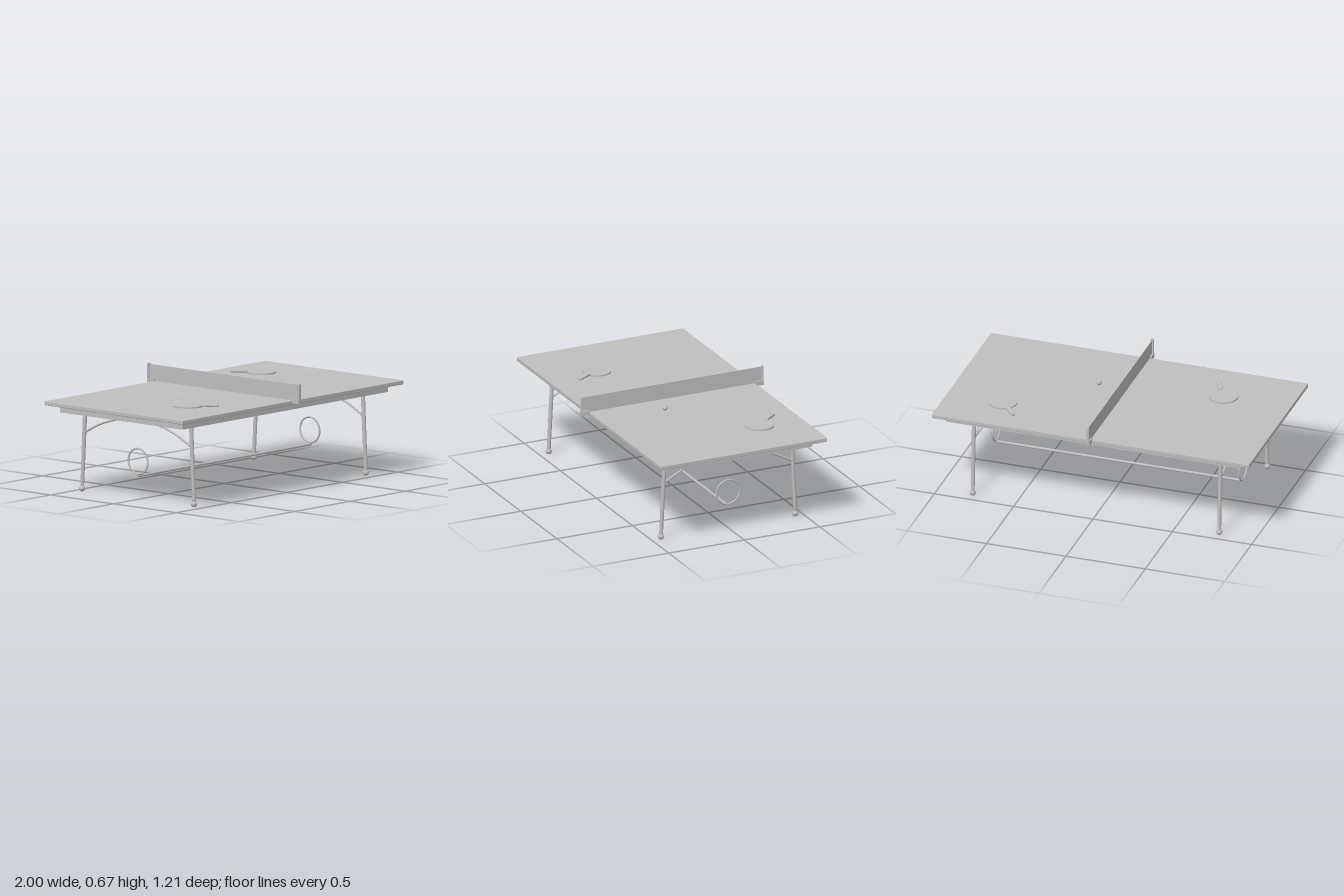
import * as THREE from 'three';
import { RoundedBoxGeometry } from 'three/addons/geometries/RoundedBoxGeometry.js';

export function createModel() {
  const model = new THREE.Group();
  model.name = 'tableTennisTable';
  const grey = new THREE.MeshStandardMaterial({ color: 0xbfbfbf });
  grey.name = 'plain grey';

  const add = (name, geometry, x = 0, y = 0, z = 0, parent = model) => {
    const mesh = new THREE.Mesh(geometry, grey);
    mesh.name = name;
    mesh.position.set(x, y, z);
    parent.add(mesh);
    return mesh;
  };
  const box = (w, h, d) => new THREE.BoxGeometry(w, h, d);

  // Round bar between two points
  const bar = (name, a, b, rTop, rBottom, sides = 12) => {
    const dir = b.clone().sub(a);
    const mesh = add(name, new THREE.CylinderGeometry(rTop, rBottom, dir.length(), sides));
    mesh.position.copy(a).add(b).multiplyScalar(0.5);
    mesh.quaternion.setFromUnitVectors(new THREE.Vector3(0, 1, 0), dir.normalize());
  };

  // Playing surface and the slab beneath it
  add('tableTop', new RoundedBoxGeometry(2, 0.025, 1.1, 1, 0.004), 0, 0.5485, 0);
  add('apron', box(1.86, 0.046, 0.972), 0, 0.515, 0);
  add('centreLine', box(1.98, 0.001, 0.008), 0, 0.561, 0);

  // Net with its end posts and clamps
  add('net', box(0.003, 0.1, 1.19), 0, 0.61, 0);
  for (const s of [-1, 1]) {
    add('netPost', new RoundedBoxGeometry(0.018, 0.118, 0.012, 1, 0.003), 0, 0.607, s * 0.597);
    add('netClamp', box(0.024, 0.028, 0.055), 0, 0.559, s * 0.574);
  }

  // Leg frames: splayed legs, ball feet, arched brace and ring
  const legX = 0.777;
  for (const sx of [-1, 1]) {
    const x = sx * legX;
    for (const sz of [-1, 1]) {
      bar('leg', new THREE.Vector3(x, 0.025, sz * 0.444), new THREE.Vector3(x, 0.5, sz * 0.42), 0.013, 0.0115);
      add('foot', new THREE.SphereGeometry(0.019, 12, 8), x, 0.019, sz * 0.444);
    }
    const arch = [];
    const radius = 0.795;
    for (let i = 0; i <= 8; i++) {
      const z = -0.42 + 0.105 * i;
      arch.push(new THREE.Vector3(x, 0.482 - radius + Math.sqrt(radius * radius - z * z), z));
    }
    add('archedBrace', new THREE.TubeGeometry(new THREE.CatmullRomCurve3(arch), 32, 0.0065, 8));
    add('ring', new THREE.TorusGeometry(0.077, 0.0055, 8, 40), x, 0.23, 0).rotation.y = Math.PI / 2;
  }
  bar('lowerRail', new THREE.Vector3(-legX - 0.008, 0.142, 0), new THREE.Vector3(legX + 0.008, 0.142, 0), 0.008, 0.008);

  // Bats: a thin disc with a handle pointing along local +x
  const bat = (x, z, towardX, towardZ) => {
    const group = new THREE.Group();
    group.name = 'bat';
    group.position.set(x, 0.561, z);
    group.rotation.y = Math.atan2(-towardZ, towardX);
    add('batBlade', new THREE.CylinderGeometry(0.087, 0.087, 0.009, 40), 0, 0.0045, 0, group);
    add('batHandle', new RoundedBoxGeometry(0.1, 0.016, 0.028, 2, 0.006), 0.134, 0.011, 0, group);
    model.add(group);
  };
  bat(0.645, -0.27, -0.11, -0.14);
  bat(-0.578, 0.222, 0.09, 0.155);

  add('ball', new THREE.SphereGeometry(0.0155, 20, 14), 0.175, 0.577, 0.13);
  return model;
}
